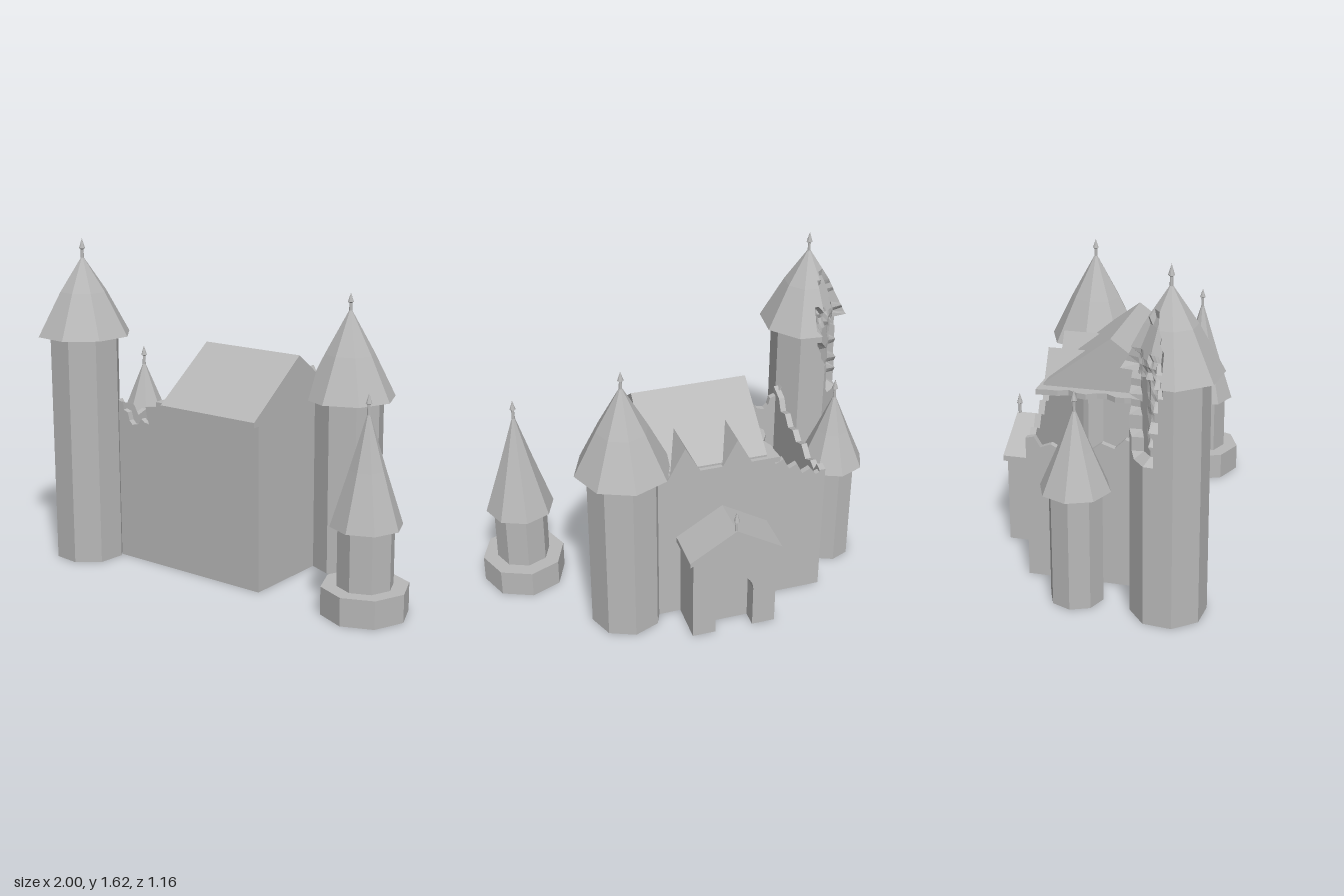
import * as THREE from 'three';

const stone = new THREE.MeshStandardMaterial({ color: 0xb8b8b8, flatShading: true, side: THREE.DoubleSide });
stone.name = 'grey stone';

const v2 = (p) => p.map(([x, y]) => new THREE.Vector2(x, y));
const hash = (i, j) => { const s = Math.sin(i * 12.99 + j * 78.23) * 43758.55; return s - Math.floor(s); };

function add(parent, name, geometry, x = 0, y = 0, z = 0) {
  const mesh = new THREE.Mesh(geometry, stone);
  mesh.name = name;
  mesh.position.set(x, y, z);
  parent.add(mesh);
  return mesh;
}

// Flat outline pushed along z
const plate = (points, depth) =>
  new THREE.ExtrudeGeometry(new THREE.Shape(v2(points)), { depth, bevelEnabled: false });
// Same, but the outline is read as (z, y) and the plate grows towards -x
const sidePlate = (points, depth) => plate(points, depth).rotateY(-Math.PI / 2);

// Thin stem with a pointed head
function finial(parent, x, y, z, height) {
  add(parent, 'finial', new THREE.LatheGeometry(v2([
    [0.009, -0.03], [0.007, height * 0.45], [0.015, height * 0.5], [0, height],
  ]), 8), x, y, z);
}

// Eight-sided tower with a pointed roof
function tower(parent, name, x, z, body, roof) {
  const g = new THREE.Group();
  g.name = name;
  g.position.set(x, 0, z);
  parent.add(g);
  add(g, 'towerWall', new THREE.LatheGeometry(v2(body), 8));
  const { r, base, apex, bulge = 0, tip } = roof;
  add(g, 'towerRoof', new THREE.LatheGeometry(v2([
    [0, base], [r, base], [r * 0.5 + bulge, (base + apex) / 2], [0.004, apex],
  ]), 8));
  finial(g, 0, apex - 0.01, 0, tip - apex + 0.01);
}

// Tall tower whose shell is broken open towards the back
function brokenTower(parent, x, z) {
  const key = [[0, 0], [0.175, 0], [0.175, 0.7], [0.175, 1.145], [0.235, 1.145], [0.118, 1.36], [0.004, 1.53]];
  const steps = [1, 1, 14, 1, 8, 5];
  const profile = [key[0]];
  steps.forEach((n, k) => {
    for (let s = 1; s <= n; s++) {
      profile.push([0, 1].map((c) => key[k][c] + (key[k + 1][c] - key[k][c]) * s / n));
    }
  });
  const segments = 48, rows = profile.length, turn = 17 * Math.PI / 180;
  const geo = new THREE.LatheGeometry(v2(profile), segments);
  const pos = geo.attributes.position;
  const eighth = Math.PI / 4, hole = 209 * Math.PI / 180;
  for (let i = 0; i <= segments; i++) {
    const phi = i / segments * Math.PI * 2;
    const flat = Math.cos(eighth / 2) / Math.cos((phi % eighth) - eighth / 2);
    for (let j = 0; j < rows; j++) {
      const n = i * rows + j;
      let [r, y] = profile[j];
      r *= flat;
      // Ragged breach: wide in the roof, narrowing down the wall
      const noise = hash(i % segments, j);
      const width = y > 1.14 ? 0.72 - Math.max(0, y - 1.26) * 2.5 : 0.3 + (y - 0.77) * 1.0;
      if (y > 0.77 && y < 1.42 && Math.abs(phi - hole) < width + (noise - 0.5) * 0.22) {
        r = Math.min(r * 0.72, 0.115 + noise * 0.025);
      }
      pos.setXYZ(n, r * Math.sin(phi), y, r * Math.cos(phi));
    }
  }
  geo.rotateY(turn);
  const g = new THREE.Group();
  g.name = 'brokenTower';
  g.position.set(x, 0, z);
  parent.add(g);
  add(g, 'brokenTowerShell', geo);
  finial(g, 0, 1.52, 0, 0.1);
}

function hall(parent) {
  const g = new THREE.Group();
  g.name = 'hall';
  parent.add(g);
  const t = 0.03;
  add(g, 'floor', new THREE.BoxGeometry(0.88, 0.02, 0.64), -0.18, 0.01, -0.04);
  // Walls with crumbled tops
  add(g, 'frontWall', plate([
    [-0.62, 0], [0.26, 0], [0.26, 0.815], [-0.37, 0.815], [-0.44, 0.805], [-0.435, 0.77], [-0.42, 0.72],
    [-0.45, 0.725], [-0.47, 0.74], [-0.49, 0.71], [-0.53, 0.7], [-0.55, 0.72], [-0.56, 0.76], [-0.59, 0.77], [-0.62, 0.82],
  ], t), 0, 0, 0.25);
  add(g, 'backWall', plate([
    [-0.62, 0], [0.26, 0], [0.26, 0.82], [-0.34, 0.82], [-0.36, 0.78], [-0.4, 0.8], [-0.43, 0.74],
    [-0.47, 0.76], [-0.5, 0.7], [-0.54, 0.72], [-0.57, 0.68], [-0.62, 0.7],
  ], t), 0, 0, -0.36);
  add(g, 'leftRuinWall', sidePlate([
    [-0.36, 0], [0.28, 0], [0.28, 0.81], [0.2, 0.78], [0.17, 0.72], [0.11, 0.74], [0.06, 0.69], [0, 0.71],
    [-0.05, 0.67], [-0.12, 0.7], [-0.18, 0.65], [-0.24, 0.68], [-0.29, 0.66], [-0.32, 0.71], [-0.36, 0.7],
  ], t), -0.59);
  add(g, 'endWall', new THREE.BoxGeometry(t, 0.815, 0.64), 0.245, 0.4075, -0.04);

  // Ceiling slab with a broken edge
  const edge = [[-0.37, 0.28]];
  for (let i = 1; i < 14; i++) edge.push([-0.36 + (hash(i, 3) - 0.5) * 0.05, 0.28 - i * 0.047]);
  edge.push([-0.37, -0.39], [0.17, -0.39], [0.26, -0.34], [0.26, 0.28]);
  add(g, 'ceilingSlab', plate(edge, 0.027).rotateX(Math.PI / 2), 0, 0.84);

  // Gabled roof
  add(g, 'hallRoof', sidePlate([
    [0.28, 0.815], [0.315, 0.815], [0.315, 0.84], [-0.04, 1.1], [-0.37, 0.85], [-0.37, 0.815],
  ], 0.57), 0.26);

  // Pointed dormers over the back wall
  for (const x of [-0.155, 0.1]) {
    add(g, 'dormer', plate([[-0.085, 0.815], [0.085, 0.815], [0, 0.975]], 0.22), x, 0, -0.39);
  }
}

function gatehouse(parent) {
  const g = new THREE.Group();
  g.name = 'gatehouse';
  g.position.x = -0.095;
  parent.add(g);
  // Front with an arched doorway open at the ground
  const front = new THREE.Shape();
  front.moveTo(-0.21, 0).lineTo(-0.095, 0).lineTo(-0.095, 0.22);
  front.absarc(0, 0.22, 0.095, Math.PI, 0, true);
  front.lineTo(0.095, 0).lineTo(0.21, 0).lineTo(0.21, 0.44).lineTo(0, 0.575).lineTo(-0.21, 0.44);
  add(g, 'gateFront', new THREE.ExtrudeGeometry(front, { depth: 0.08, bevelEnabled: false, curveSegments: 10 }), 0, 0, -0.565);
  add(g, 'gateBody', plate([[-0.21, 0], [0.21, 0], [0.21, 0.44], [0, 0.575], [-0.21, 0.44]], 0.14), 0, 0, -0.485);
  add(g, 'gateRoof', plate([
    [-0.23, 0.43], [0, 0.565], [0.23, 0.43], [0.23, 0.457], [0, 0.597], [-0.23, 0.457],
  ], 0.22), 0, 0, -0.58);
  finial(g, 0, 0.59, -0.567, 0.11);
}

export function createModel() {
  const model = new THREE.Group();
  model.name = 'castle';
  hall(model);
  gatehouse(model);
  brokenTower(model, -0.775, 0.35);
  const shaft = (r, h) => [[0, 0], [r, 0], [r, h]];
  tower(model, 'backTower', 0.375, -0.3, shaft(0.175, 0.88),
    { r: 0.233, base: 0.865, apex: 1.3, bulge: 0.008, tip: 1.38 });
  tower(model, 'smallTower', -0.77, -0.08, shaft(0.125, 0.56),
    { r: 0.165, base: 0.55, apex: 0.93, tip: 1.02 });
  tower(model, 'detachedTurret', 0.79, 0.175, [[0, 0], [0.207, 0], [0.207, 0.135], [0.133, 0.135], [0.133, 0.43]],
    { r: 0.17, base: 0.42, apex: 0.945, tip: 1.03 });
  return model;
}
